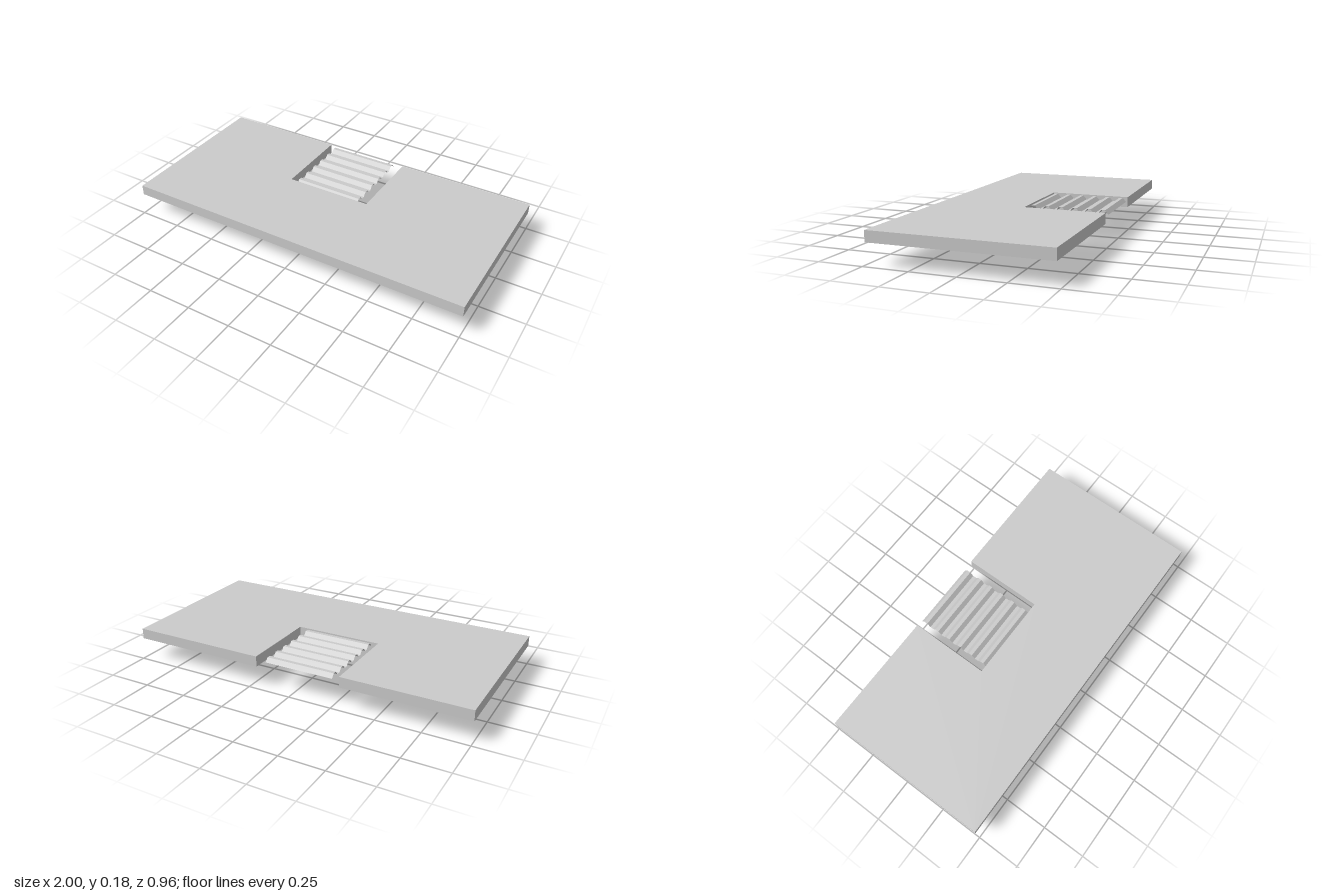
import * as THREE from 'three';

const grey = new THREE.MeshStandardMaterial({ color: 0xcccccc, flatShading: true });
const greySheet = new THREE.MeshStandardMaterial({ color: 0xcccccc, flatShading: true, side: THREE.DoubleSide });

function extrude(points, depth) {
  const shape = new THREE.Shape(points.map(([x, y]) => new THREE.Vector2(x, y)));
  return new THREE.ExtrudeGeometry(shape, { depth, bevelEnabled: false });
}

function addPart(group, name, geometry, material, x = 0, y = 0, z = 0) {
  const mesh = new THREE.Mesh(geometry, material);
  mesh.name = name;
  mesh.position.set(x, y, z);
  group.add(mesh);
}

export function createModel() {
  const group = new THREE.Group();
  group.name = 'counterWithDrainer';

  // Flat slab with a rectangular notch open at the back
  const slab = extrude([
    [-1, -0.48], [1, -0.48], [1, 0.48], [0.21, 0.48],
    [0.21, 0.02], [-0.29, 0.02], [-0.29, 0.48], [-1, 0.48],
  ], 0.06).rotateX(-Math.PI / 2);
  addPart(group, 'slab', slab, grey, 0, 0.121, 0);

  // Corrugated sheet in the notch: up, flat, down, flat, repeated
  const steps = 23;
  const sheet = new THREE.PlaneGeometry(0.4, 0.46, 1, steps).rotateX(-Math.PI / 2);
  const pos = sheet.attributes.position;
  for (let i = 0; i < pos.count; i++) {
    const row = Math.floor(i / 2) % 4;
    pos.setY(i, row === 1 || row === 2 ? 0.022 : 0);
  }
  sheet.computeVertexNormals();
  addPart(group, 'corrugatedSheet', sheet, greySheet, -0.05, 0.16, -0.25);

  // Chamfered plate hanging under the slab
  const plate = extrude([
    [-0.026, 0], [0.026, 0], [0.077, 0.05], [0.077, 0.105],
    [0.062, 0.121], [-0.062, 0.121], [-0.077, 0.105], [-0.077, 0.05],
  ], 0.015).rotateY(Math.PI / 2);
  addPart(group, 'hangerPlate', plate, grey, -0.086, 0, 0.167);

  // Eight-sided rod sticking out of the plate
  const rod = new THREE.CylinderGeometry(0.028, 0.028, 0.424, 8)
    .rotateY(Math.PI / 8).rotateZ(Math.PI / 2);
  addPart(group, 'hangerRod', rod, grey, 0.14, 0.072, 0.168);

  return group;
}
